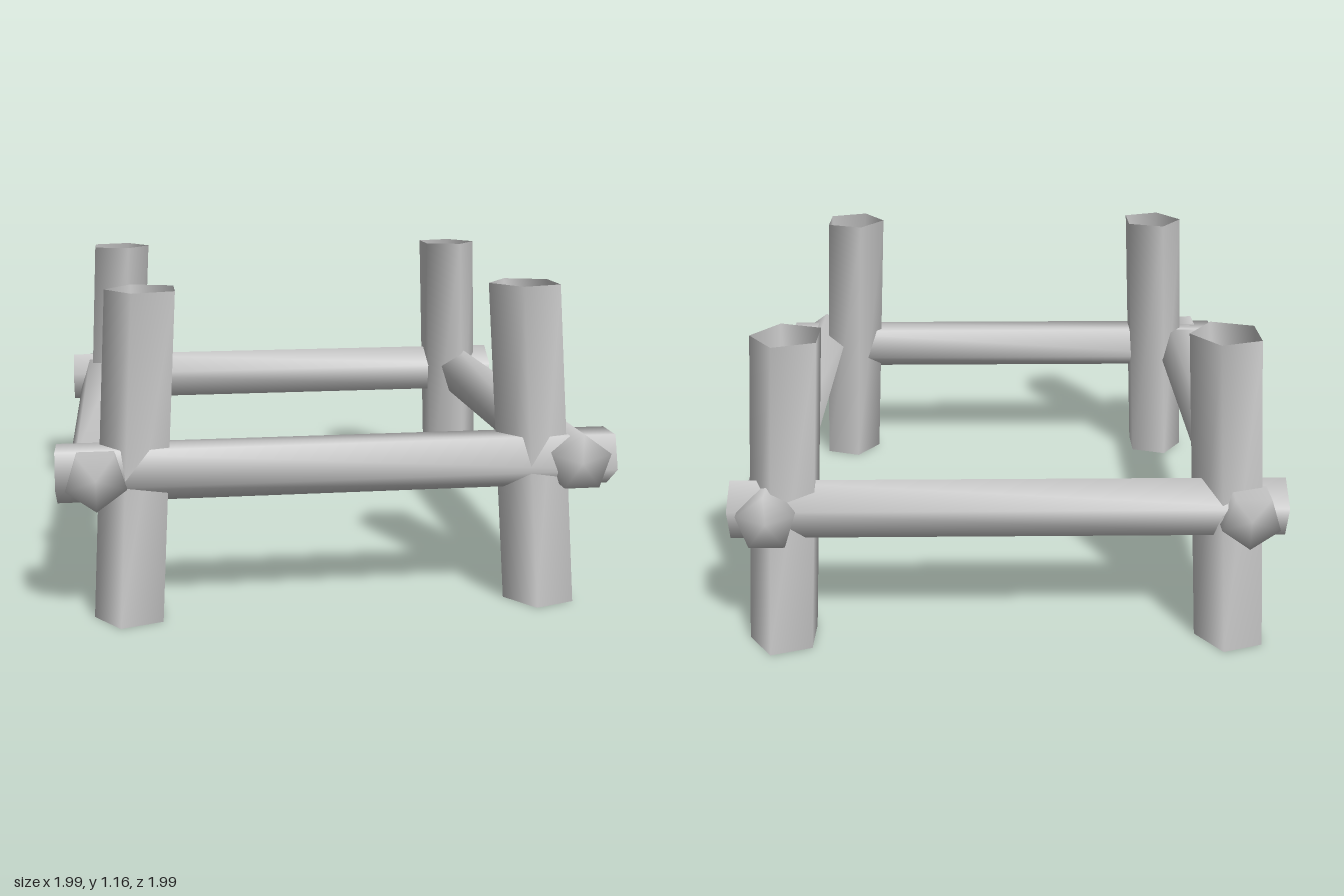
import * as THREE from 'three';
import { mergeVertices } from 'three/addons/utils/BufferGeometryUtils.js';

const material = new THREE.MeshStandardMaterial({ color: 0xcccccc, side: THREE.DoubleSide });

// Weld the corners so the five-sided poles shade as round
function smooth(geometry) {
  geometry.deleteAttribute('normal');
  geometry.deleteAttribute('uv');
  const welded = mergeVertices(geometry, 1e-4);
  welded.computeVertexNormals();
  return welded;
}

function addMesh(group, name, geometry) {
  const mesh = new THREE.Mesh(smooth(geometry), material);
  mesh.name = name;
  group.add(mesh);
  return mesh;
}

// Open five-sided tube, sheared so that its cut ends stay level
function legGeometry(bottom, top, height, turn) {
  const g = new THREE.CylinderGeometry(0.133, 0.133, height, 5, 1, true);
  g.rotateY(turn);
  g.translate(0, height / 2, 0);
  const p = g.attributes.position;
  for (let i = 0; i < p.count; i++) {
    const t = p.getY(i) / height;
    p.setX(i, p.getX(i) + THREE.MathUtils.lerp(bottom[0], top[0], t));
    p.setZ(i, p.getZ(i) + THREE.MathUtils.lerp(bottom[1], top[1], t));
  }
  return g;
}

// Capped five-sided pole along z, with one edge pointing up (1) or down (-1)
function railGeometry(edge) {
  const g = new THREE.CylinderGeometry(0.109, 0.109, 1.99, 5);
  g.rotateX(-edge * Math.PI / 2);
  return g;
}

export function createModel() {
  const group = new THREE.Group();
  group.name = 'poleFrame';

  // Four legs leaning inward
  for (const side of [1, -1]) {
    const label = side > 0 ? 'Left' : 'Right';
    addMesh(group, 'front' + label + 'Leg',
      legGeometry([side * 0.747, 0.87], [side * 0.68, 0.793], 1.16, -Math.PI / 2));
    addMesh(group, 'back' + label + 'Leg',
      legGeometry([side * 0.831, -0.872], [side * 0.767, -0.772], 1.16, Math.PI / 2));
  }

  // Four rails crossing at the corners
  const y = 0.533;
  addMesh(group, 'leftRail', railGeometry(1)).position.set(0.855, y, 0);
  addMesh(group, 'rightRail', railGeometry(-1)).position.set(-0.857, y, 0);
  addMesh(group, 'frontRail', railGeometry(-1).rotateY(Math.PI / 2)).position.set(0, y, 0.865);
  addMesh(group, 'backRail', railGeometry(1).rotateY(Math.PI / 2)).position.set(0, y, -0.857);

  return group;
}
